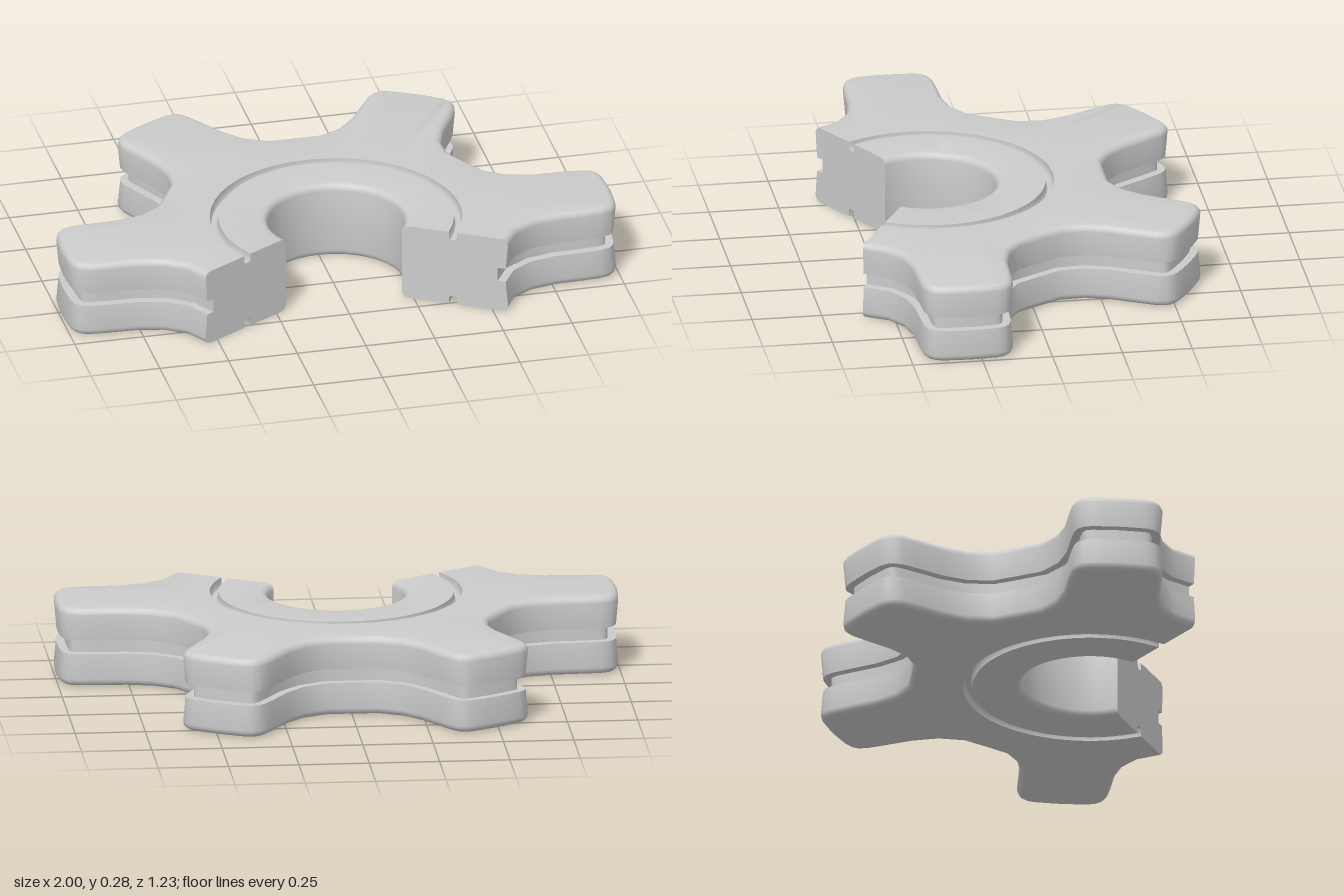
import * as THREE from 'three';
import { toCreasedNormals } from 'three/addons/utils/BufferGeometryUtils.js';

const H = 0.285, CENTRE_Z = 0.293, BORE = 0.243, FILLET = 0.025;

// Half of one tooth, tip to root, in the tooth's own frame (radial, sideways)
const halfTooth = [
  [1, 0], [0.998, 0.05], [0.994, 0.1], [0.985, 0.128], [0.965, 0.15], [0.93, 0.162],
  [0.87, 0.166], [0.76, 0.17], [0.67, 0.19], [0.597, 0.238], [0.55, 0.3175],
];

// Outline of four teeth, 60 degrees apart
function makeOutline() {
  const tooth = [
    ...halfTooth.slice(1).reverse().map(([u, v]) => new THREE.Vector2(u, -v)),
    ...halfTooth.map(([u, v]) => new THREE.Vector2(u, v)),
  ];
  const points = [];
  for (let t = 0; t < 4; t++) {
    const turned = tooth.map((p) => p.clone().rotateAround(new THREE.Vector2(), t * Math.PI / 3));
    points.push(...(t ? turned.slice(1) : turned)); // neighbours share the root point
  }
  return points;
}

// Cross-section: r is a fixed radius, d an inset from the toothed outline
function makeSection() {
  const upper = [{ d: 0.038, y: 0.168 }, { d: 0.008, y: 0.168 }];
  const steps = [0, 1, 2, 3, 4].map((i) => i * Math.PI / 8);
  for (const a of steps) {
    upper.push({ d: FILLET * (1 - Math.cos(a)), y: H - FILLET * (1 - Math.sin(a)) });
  }
  // Ring groove in the flat face
  for (const [r, depth] of [[0.447, 0], [0.447, 0.023], [0.441, 0.031], [0.423, 0.031], [0.417, 0.023], [0.417, 0]]) {
    upper.push({ r, y: H - depth });
  }
  // Rounded bore edge
  for (const a of steps) {
    upper.push({ r: BORE + FILLET * (1 - Math.sin(a)), y: H - FILLET * (1 - Math.cos(a)) });
  }
  const lower = upper.map((p) => ({ ...p, y: H - p.y })).reverse();
  return [...upper, ...lower];
}

function makeSectorGeometry() {
  const outline = makeOutline(), section = makeSection();
  const n = section.length, last = outline.length - 1;
  const positions = [], index = [];

  // Sweep the section round the outline
  outline.forEach((p, i) => {
    const dir = p.clone().normalize();
    let normal = dir;
    if (i > 0 && i < last) {
      const before = p.clone().sub(outline[i - 1]).normalize();
      const t = outline[i + 1].clone().sub(p).normalize().add(before).normalize();
      normal = new THREE.Vector2(t.y, -t.x);
    }
    for (const s of section) {
      const q = s.r !== undefined
        ? dir.clone().multiplyScalar(s.r)
        : p.clone().addScaledVector(normal, -s.d);
      positions.push(q.x, s.y, CENTRE_Z - q.y);
    }
  });
  for (let i = 0; i < last; i++) {
    for (let j = 0; j < n; j++) {
      const k = (j + 1) % n;
      const a = i * n + j, b = i * n + k, c = a + n, d = b + n;
      index.push(a, c, b, b, c, d);
    }
  }

  // Flat cut faces at both ends
  const rim = outline[0].length();
  const contour = section.map((s) => new THREE.Vector2(s.r ?? rim - s.d, s.y));
  for (const [a, b, c] of THREE.ShapeUtils.triangulateShape(contour, [])) {
    index.push(a, b, c, last * n + a, last * n + c, last * n + b);
  }

  const geometry = new THREE.BufferGeometry();
  geometry.setAttribute('position', new THREE.Float32BufferAttribute(positions, 3));
  geometry.setIndex(index);
  return toCreasedNormals(geometry, 0.7);
}

export function createModel() {
  const model = new THREE.Group();
  model.name = 'toothedWheelSector';
  const body = new THREE.Mesh(
    makeSectorGeometry(),
    new THREE.MeshStandardMaterial({ color: 0xcccccc }),
  );
  body.name = 'groovedToothedSector';
  model.add(body);
  return model;
}
